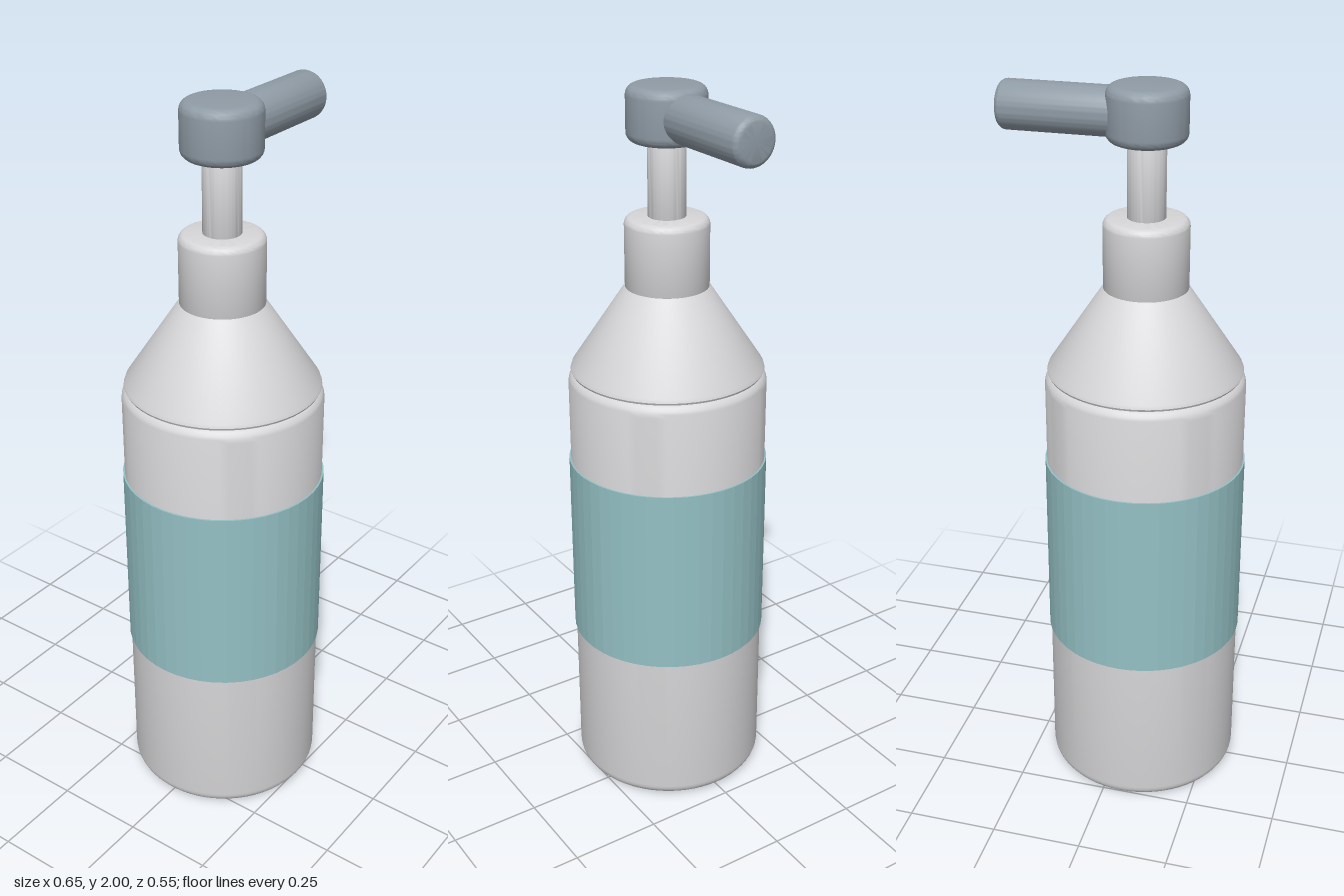
import * as THREE from 'three';
import { toCreasedNormals } from 'three/addons/utils/BufferGeometryUtils.js';

const AXIS_X = -0.054;

function material(name, color) {
  const m = new THREE.MeshStandardMaterial({ color });
  m.name = name;
  return m;
}

// Solid of revolution through closed profile points [radius, y], bottom to top
function turned(points, sides = 64) {
  const profile = points.map(([r, y]) => new THREE.Vector2(r, y));
  return toCreasedNormals(new THREE.LatheGeometry(profile, sides), 0.5);
}

// Cylinder from y0 to y1 with rounded rims
function roundedCylinder(radius, y0, y1, bottomBevel, topBevel) {
  const points = [[0, y0]];
  const steps = 6;
  for (let i = 0; i <= steps; i++) {
    const a = (i / steps) * Math.PI / 2;
    points.push([radius - bottomBevel * (1 - Math.sin(a)), y0 + bottomBevel * (1 - Math.cos(a))]);
  }
  for (let i = 0; i <= steps; i++) {
    const a = (i / steps) * Math.PI / 2;
    points.push([radius - topBevel * (1 - Math.cos(a)), y1 - topBevel * (1 - Math.sin(a))]);
  }
  points.push([0, y1]);
  return turned(points);
}

export function createModel() {
  const group = new THREE.Group();
  group.name = 'pumpBottle';

  const plastic = material('pale grey plastic', 0xd6d6d8);
  const teal = material('teal label', 0x94c0c4);
  const slate = material('slate grey pump', 0x8f9ba5);

  const add = (name, geometry, mat) => {
    const mesh = new THREE.Mesh(geometry, mat);
    mesh.name = name;
    mesh.position.x = AXIS_X;
    group.add(mesh);
    return mesh;
  };

  // Bottle
  add('body', roundedCylinder(0.269, 0, 1.245, 0.035, 0.035), plastic);
  add('shoulder', turned([
    [0, 1.24], [0.25, 1.24], [0.259, 1.243], [0.262, 1.249], [0.259, 1.258],
    [0.115, 1.475], [0.108, 1.48], [0, 1.48],
  ]), plastic);

  // Label wrapped round the body, with visible facets
  const wrap = new THREE.CylinderGeometry(0.274, 0.274, 0.53, 48).toNonIndexed();
  wrap.computeVertexNormals();
  add('label', wrap, teal).position.y = 0.72;

  // Pump
  add('collar', roundedCylinder(0.112, 1.475, 1.665, 0.004, 0.02), plastic);
  add('stem', roundedCylinder(0.05, 1.655, 1.87, 0.004, 0.004), plastic);
  add('pumpHead', roundedCylinder(0.104, 1.858, 2, 0.025, 0.025), slate);

  const spout = add('spout', roundedCylinder(0.063, 0, 0.341, 0.02, 0.02), slate);
  spout.rotation.z = -Math.PI / 2;
  spout.position.set(AXIS_X + 0.04, 1.928, 0);

  return group;
}
